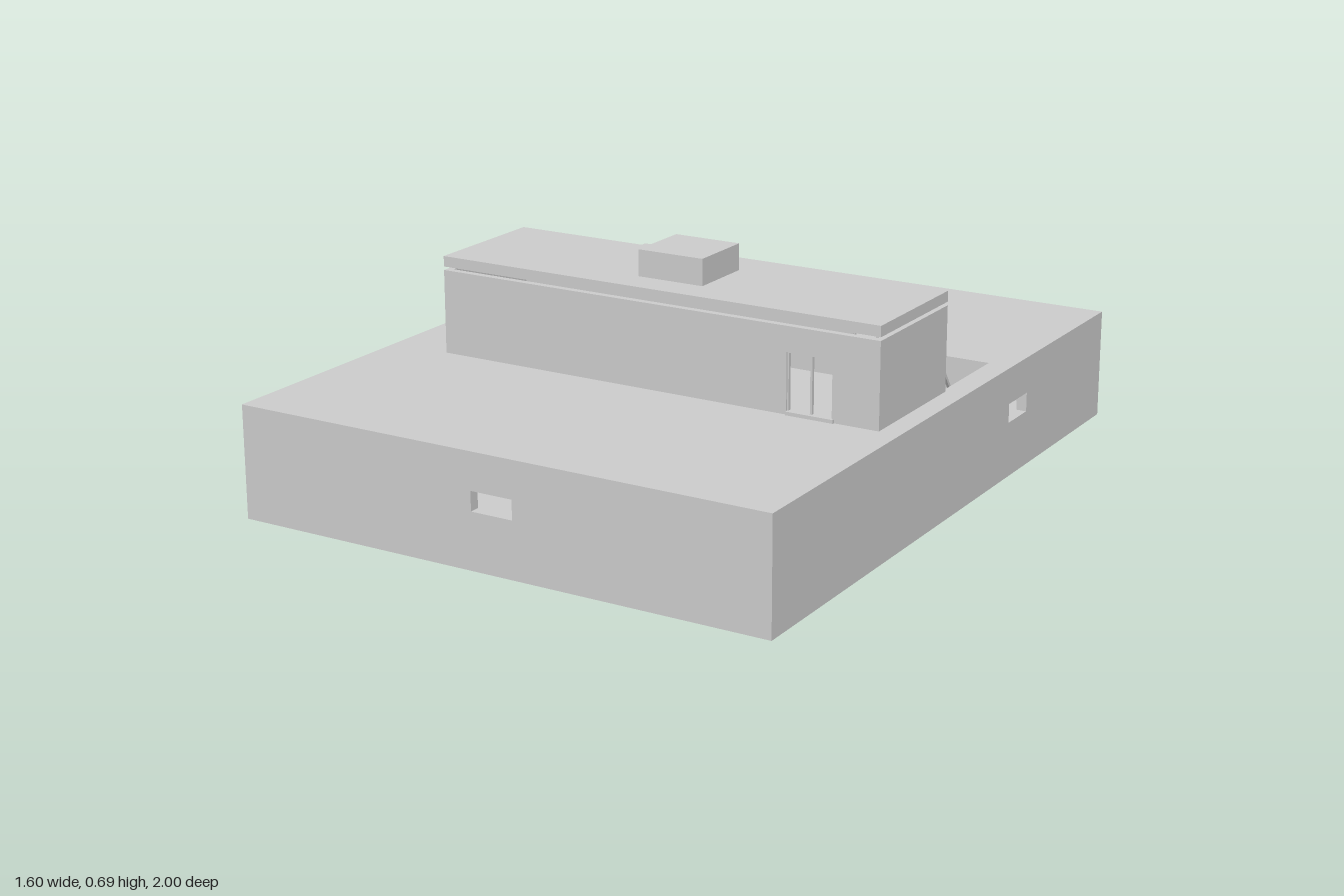
import * as THREE from 'three';

const material = new THREE.MeshStandardMaterial({ color: 0xcccccc, side: THREE.DoubleSide });

// Box given by its min and max on each axis
function box(parent, name, [x0, x1], [y0, y1], [z0, z1]) {
  const mesh = new THREE.Mesh(new THREE.BoxGeometry(x1 - x0, y1 - y0, z1 - z0), material);
  mesh.position.set((x0 + x1) / 2, (y0 + y1) / 2, (z0 + z1) / 2);
  mesh.name = name;
  parent.add(mesh);
  return mesh;
}

function rect(Type, [a0, a1, b0, b1]) {
  const p = new Type();
  p.moveTo(a0, b0).lineTo(a1, b0).lineTo(a1, b1).lineTo(a0, b1).closePath();
  return p;
}

// Rectangular panel with rectangular holes; each rectangle is [a0, a1, b0, b1]
function panel(parent, name, outline, holes, depth, orient, position) {
  const shape = rect(THREE.Shape, outline);
  holes.forEach((h) => shape.holes.push(rect(THREE.Path, h)));
  const geometry = new THREE.ExtrudeGeometry(shape, { depth, bevelEnabled: false });
  orient(geometry);
  const mesh = new THREE.Mesh(geometry, material);
  mesh.name = name;
  mesh.position.set(...position);
  parent.add(mesh);
}
const facingZ = () => {};
const facingX = (g) => g.rotateY(-Math.PI / 2); // outline in z, y; depth toward -x
const facingY = (g) => g.rotateX(Math.PI / 2); // outline in x, z; depth toward -y

// Beam between two points in a plane of constant x
function slopedBeam(parent, name, x, [y0, z0], [y1, z1], thick) {
  const length = Math.hypot(y1 - y0, z1 - z0);
  const mesh = new THREE.Mesh(new THREE.BoxGeometry(0.008, thick, length), material);
  mesh.position.set(x, (y0 + y1) / 2, (z0 + z1) / 2);
  mesh.rotation.x = -Math.atan2(y1 - y0, z1 - z0);
  mesh.name = name;
  parent.add(mesh);
}

function lowerStorey() {
  const g = new THREE.Group();
  g.name = 'lowerStorey';
  const t = 0.03, low = 0.01, top = 0.33, under = 0.31;
  box(g, 'lowerFloor', [-0.8, 0.8], [low, 0.02], [-1, 1]);
  panel(g, 'deck', [-0.8, 0.8, -1, 1], [[0.59, 0.73, -0.35, -0.05]], top - under, facingY, [0, top, 0]);
  panel(g, 'frontWall', [-0.8, 0.8, 0.02, under], [[-0.065, 0.06, 0.17, 0.225]], t, facingZ, [0, 0, 1 - t]);
  panel(g, 'backWall', [-0.8, 0.8, 0.02, under], [[-0.12, 0.1, 0.025, 0.22]], t, facingZ, [0, 0, -1]);
  panel(g, 'rightWall', [-1 + t, 1 - t, 0.02, under], [[-0.46, -0.34, 0.17, 0.225]], t, facingX, [0.8, 0, 0]);
  panel(g, 'leftWall', [-1 + t, 1 - t, 0.02, under], [[0.59, 0.75, 0.025, 0.22]], t, facingX, [-0.8 + t, 0, 0]);
  // Interior
  box(g, 'partition', [-0.77, 0.77], [0.02, under], [0.3, 0.33]);
  box(g, 'lowCounter', [-0.25, 0.07], [0.02, 0.085], [-0.9, -0.8]);
  return g;
}

function upperStorey() {
  const g = new THREE.Group();
  g.name = 'upperStorey';
  const t = 0.02, x0 = -0.62, x1 = 0.74, z0 = -0.05, z1 = 0.34, y0 = 0.33, y1 = 0.57;
  const door = [0.47, 0.605, 0.335, 0.5];
  panel(g, 'houseFrontWall', [x0, x1, y0, y1], [door], t, facingZ, [0, 0, z1 - t]);
  panel(g, 'houseBackWall', [x0, x1, y0, y1], [door], t, facingZ, [0, 0, z0]);
  box(g, 'houseLeftWall', [x0, x0 + t], [y0, y1], [z0 + t, z1 - t]);
  box(g, 'houseRightWall', [x1 - t, x1], [y0, y1], [z0 + t, z1 - t]);
  box(g, 'roof', [x0, x1], [0.58, 0.61], [z0, z1]);
  box(g, 'roofBox', [-0.04, 0.16], [0.61, 0.685], [0.05, 0.245]);

  // Door frames with a centre post, sill in front and landing at the back
  for (const z of [z0 + 0.005, z1 - 0.015]) {
    panel(g, 'doorFrame', door, [[0.474, 0.601, 0.338, 0.497]], 0.01, facingZ, [0, 0, z]);
    box(g, 'doorPost', [0.537, 0.543], [0.338, 0.497], [z, z + 0.01]);
  }
  box(g, 'frontSill', [0.47, 0.61], [y0, 0.34], [z1 - t, 0.346]);
  box(g, 'backLanding', [0.47, 0.595], [y0, 0.34], [-0.09, z0 + t]);
  box(g, 'landingRail', [0.471, 0.479], [0.34, 0.42], [-0.088, z0]);
  return g;
}

function stairs() {
  const g = new THREE.Group();
  g.name = 'stairs';
  const steps = 12, zLow = -0.28, zHigh = -0.05, run = (zHigh - zLow) / steps, rise = 0.31 / steps;
  for (let i = 0; i < steps; i++) {
    const y = 0.02 + rise * (i + 1), z = zLow + run * i;
    box(g, 'tread', [0.608, 0.712], [y - 0.008, y], [z, z + run]);
  }
  for (const x of [0.604, 0.716]) {
    slopedBeam(g, 'stringer', x, [0.022, -0.268], [0.31, -0.055], 0.03);
    box(g, 'stringerFoot', [x - 0.004, x + 0.004], [0, 0.03], [-0.277, -0.265]);
    // Handrail with posts
    slopedBeam(g, 'handrail', x, [0.11, -0.275], [0.415, -0.055], 0.008);
    for (const k of [0, 0.5, 1]) {
      const y = 0.02 + 0.3 * k, z = -0.27 + 0.21 * k;
      box(g, 'railPost', [x - 0.003, x + 0.003], [y, y + 0.095], [z - 0.003, z + 0.003]);
    }
  }
  return g;
}

export function createModel() {
  const model = new THREE.Group();
  model.name = 'house';
  model.add(lowerStorey(), upperStorey(), stairs());
  return model;
}
